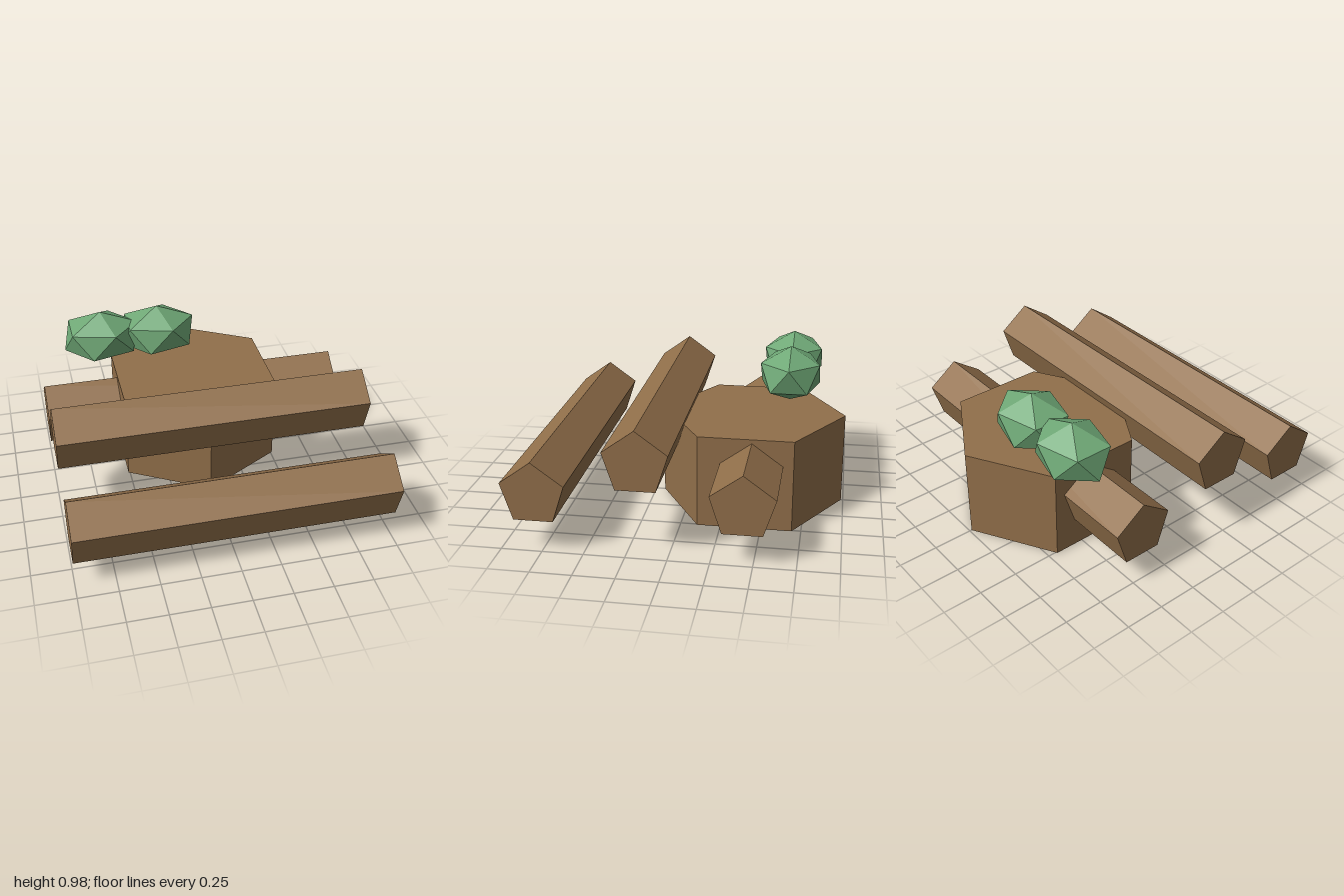
import * as THREE from 'three';
import { ConvexGeometry } from 'three/addons/geometries/ConvexGeometry.js';

const wood = new THREE.MeshStandardMaterial({ color: 0x916f4a, flatShading: true });
const leaf = new THREE.MeshStandardMaterial({ color: 0x6fa876, flatShading: true });

function add(group, name, geometry, material, x, y, z) {
  const mesh = new THREE.Mesh(geometry, material);
  mesh.name = name;
  mesh.position.set(x, y, z);
  group.add(mesh);
  return mesh;
}

// Twenty-sided clump with one corner straight up, stretched sideways and flattened
function clumpGeometry(rx, ry, rz) {
  const h = 1 / Math.sqrt(5);
  const points = [new THREE.Vector3(0, ry, 0), new THREE.Vector3(0, -ry, 0)];
  for (let i = 0; i < 5; i++) {
    for (const side of [1, -1]) {
      const a = (i * Math.PI * 2) / 5;
      points.push(new THREE.Vector3(side * 2 * h * Math.cos(a) * rx, side * h * ry, 2 * h * Math.sin(a) * rz));
    }
  }
  return new ConvexGeometry(points);
}

export function createModel() {
  const model = new THREE.Group();
  model.name = 'logPile';

  // Six-sided stump
  add(model, 'stump', new THREE.CylinderGeometry(0.589, 0.589, 0.59, 6), wood, 0, 0.295, -0.398);

  // Five-sided logs lying along x, ridge upward
  const log = new THREE.CylinderGeometry(0.203, 0.203, 2, 5, 1, false, Math.PI / 2);
  log.rotateZ(Math.PI / 2);
  add(model, 'frontLog', log, wood, 0, 0.362, 0.794);
  add(model, 'upperLog', log, wood, 0, 0.592, 0.18);
  add(model, 'backLog', log, wood, 0, 0.362, -0.436);

  // Pair of leafy clumps
  const clump = clumpGeometry(0.279, 0.181, 0.224);
  add(model, 'rightLeafClump', clump, leaf, -0.578, 0.8, -0.618);
  add(model, 'leftLeafClump', clump, leaf, -0.193, 0.8, -0.618);

  return model;
}
